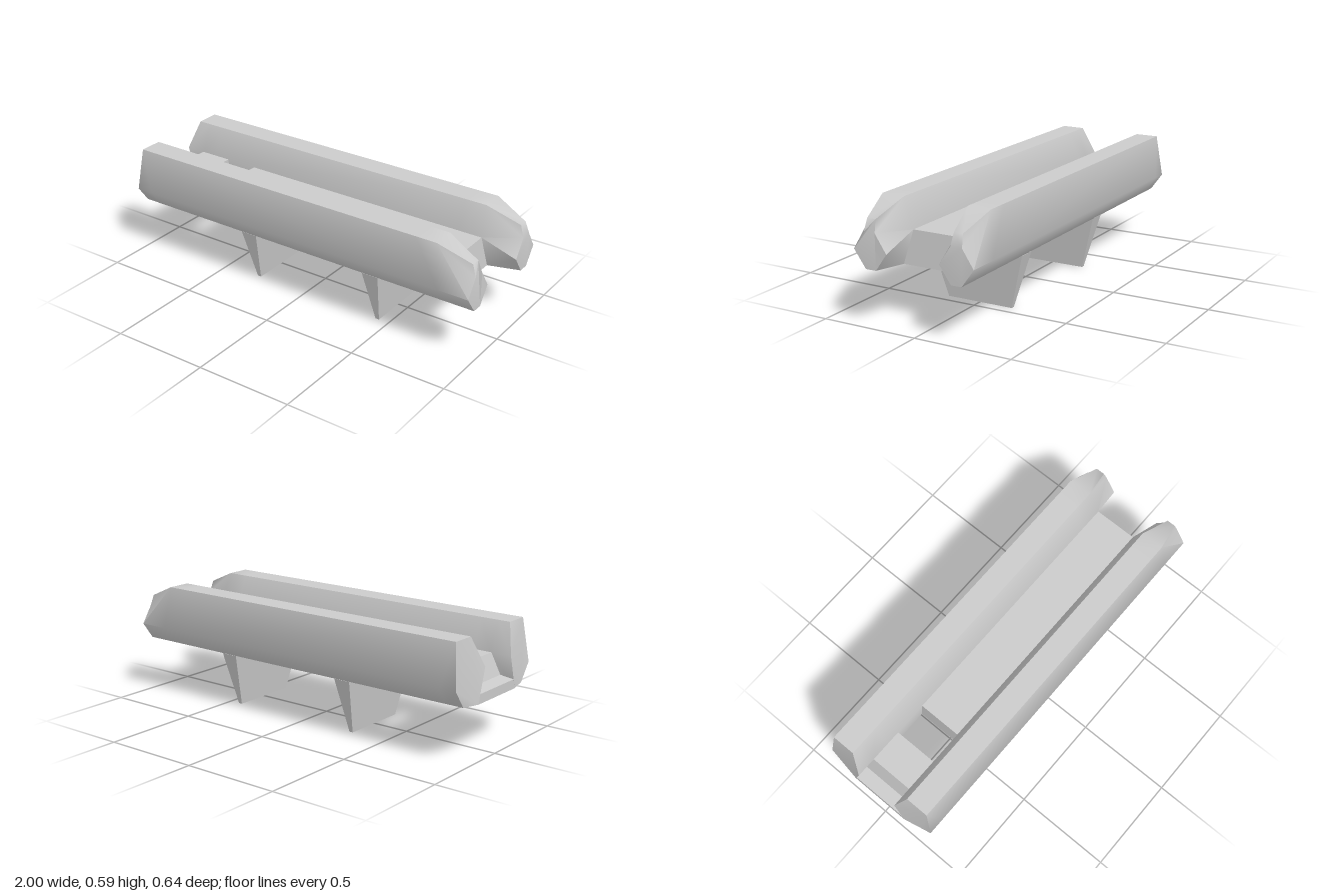
import * as THREE from 'three';
import { toCreasedNormals } from 'three/addons/utils/BufferGeometryUtils.js';

const material = new THREE.MeshStandardMaterial({ color: 0xcccccc });

// Skins rings of [x, y, z] points along x and closes both ends; side -1 mirrors in z
function loft(rings, side, crease) {
  const out = [];
  const v = (p) => new THREE.Vector3(p[0], p[1], p[2] * side);
  const normal = (a, b, c) => b.clone().sub(a).cross(c.clone().sub(a));
  const tri = (a, b, c, flip) => {
    if (normal(a, b, c).length() < 1e-7) return;
    for (const p of flip ? [a, c, b] : [a, b, c]) out.push(p.x, p.y, p.z);
  };
  const n = rings[0].length;
  for (let i = 0; i < rings.length - 1; i++) {
    for (let j = 0; j < n; j++) {
      const k = (j + 1) % n;
      const [a, b, a2, b2] = [rings[i][j], rings[i][k], rings[i + 1][j], rings[i + 1][k]].map(v);
      tri(a, a2, b, side < 0);
      tri(b, a2, b2, side < 0);
    }
  }
  // end caps, turned to face outward
  for (const [ring, dir] of [[rings[0], -1], [rings[rings.length - 1], 1]]) {
    const pts = ring.map(v).filter((p, i, all) => !all.slice(0, i).some((q) => q.distanceTo(p) < 1e-6));
    const faces = THREE.ShapeUtils.triangulateShape(pts.map((p) => new THREE.Vector2(p.z, p.y)), []);
    for (const f of faces) {
      const [a, b, c] = f.map((i) => pts[i]);
      tri(a, b, c, normal(a, b, c).x * dir < 0);
    }
  }
  const geometry = new THREE.BufferGeometry();
  geometry.setAttribute('position', new THREE.Float32BufferAttribute(out, 3));
  return toCreasedNormals(geometry, crease);
}

// Rail section; xs gives x for top, inner edge, inner foot and outer side
function railRing([top, inner, foot, outer], footZ) {
  return [
    [top, 0.59, 0.29], [top, 0.59, 0.17], [top, 0.59, 0.17], [inner, 0.445, 0.113],
    [foot, 0.278, footZ], [outer, 0.283, 0.255], [outer, 0.37, 0.318], [top, 0.59, 0.29],
  ];
}

// Floor section: flat top, sides leaning outward to the underside
function floorRing(xTop, y, zTop, xBottom = xTop) {
  return [[xTop, y, zTop], [xTop, y, -zTop], [xBottom, 0.278, -0.16], [xBottom, 0.278, 0.16]];
}

export function createModel() {
  const group = new THREE.Group();
  const add = (name, geometry) => {
    const mesh = new THREE.Mesh(geometry, material);
    mesh.name = name;
    group.add(mesh);
    return mesh;
  };

  // side rails with slanted rear ends and tapered noses
  const nose = [
    [0.98, 0.518, 0.253], [0.98, 0.518, 0.207], [1, 0.458, 0.2], [1, 0.368, 0.14],
    [1, 0.283, 0.2], [1, 0.283, 0.255], [1, 0.37, 0.318], [1, 0.458, 0.26],
  ];
  const railRings = [
    railRing([-0.955, -1, -1, -0.98], 0.16),
    railRing([-0.89, -0.89, -0.89, -0.89], 0.16),
    railRing([-0.8, -0.8, -0.8, -0.8], 0.13),
    railRing([0.7, 0.7, 0.7, 0.7], 0.13),
    railRing([0.81, 0.825, 0.84, 0.84], 0.16),
    nose,
  ];
  for (const [name, side] of [['frontRail', 1], ['backRail', -1]]) {
    add(name, loft(railRings, side, 0.85));
  }

  // trench floor in two pieces, leaving the opening between them
  add('rearFloor', loft([
    floorRing(-1, 0.325, 0.146), floorRing(-0.93, 0.335, 0.143),
    floorRing(-0.895, 0.445, 0.113), floorRing(-0.72, 0.445, 0.113),
  ], 1, 0.1));
  add('mainFloor', loft([
    floorRing(-0.545, 0.445, 0.113), floorRing(0.825, 0.445, 0.113, 0.84),
  ], 1, 0.1));

  // wedge feet, narrowing downward
  const wedge = new THREE.BoxGeometry(2, 0.282, 2);
  const pos = wedge.attributes.position;
  for (let i = 0; i < pos.count; i++) {
    const high = pos.getY(i) > 0;
    pos.setX(i, pos.getX(i) * (high ? 0.045 : 0.01));
    pos.setZ(i, pos.getZ(i) * (high ? 0.255 : 0.178));
  }
  wedge.computeVertexNormals();
  for (const [name, x] of [['rearFoot', -0.295], ['noseFoot', 0.435]]) {
    add(name, wedge).position.set(x, 0.141, 0);
  }
  return group;
}
